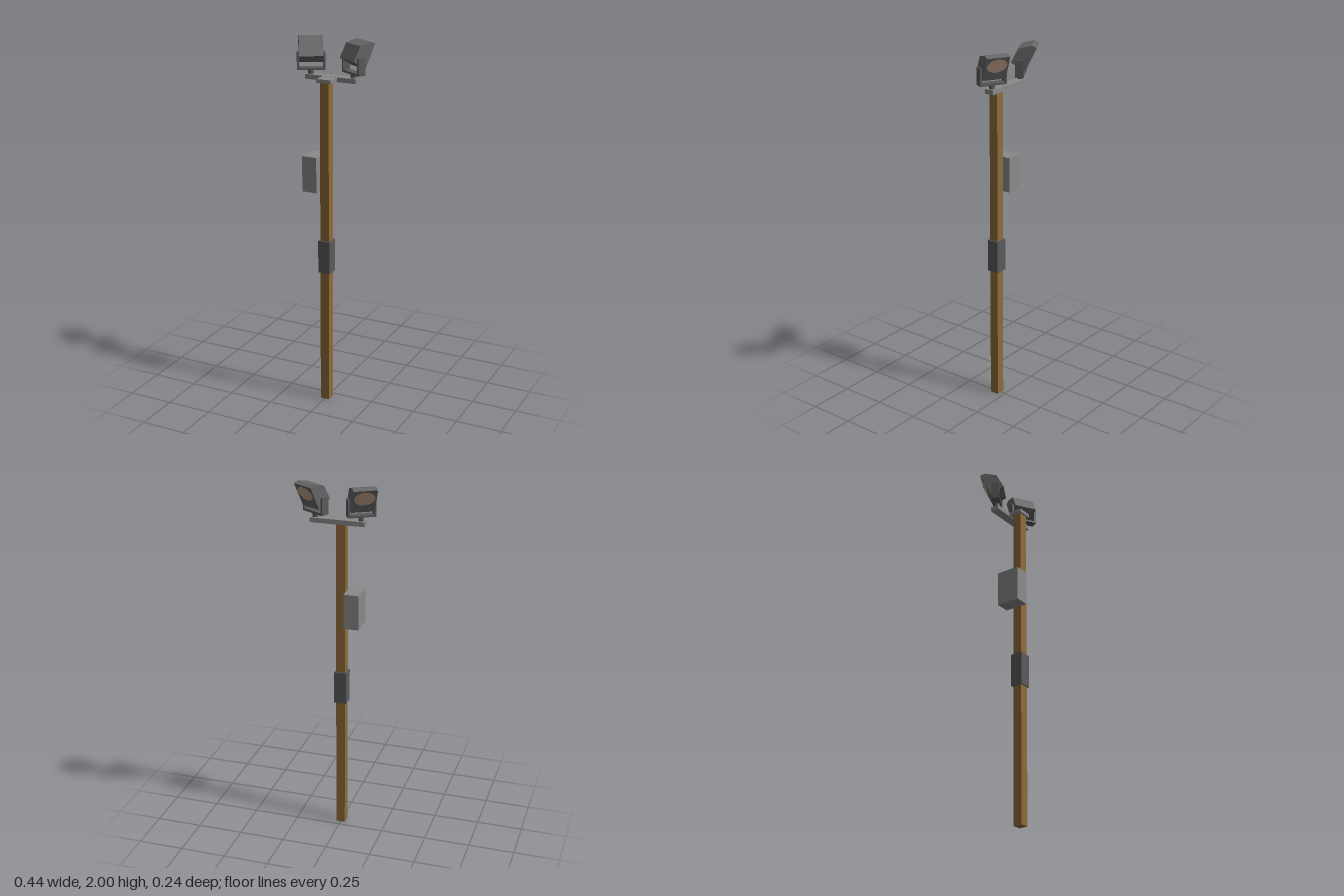
import * as THREE from 'three';

const mat = (name, color) => {
  const m = new THREE.MeshStandardMaterial({ color });
  m.name = name;
  return m;
};

export function createModel() {
  const wood = mat('wood', 0x8f6b3a);
  const grey = mat('grey metal', 0x8a8a8a);
  const dark = mat('dark metal', 0x5a5a5a);
  const housingGrey = mat('lamp housing', 0x666666);
  const glass = mat('lamp glass', 0xbfa088);

  const model = new THREE.Group();
  model.name = 'floodlightPole';

  const add = (parent, name, geometry, material) => {
    const mesh = new THREE.Mesh(geometry, material);
    mesh.name = name;
    parent.add(mesh);
    return mesh;
  };
  // Box given by its minimum and maximum corners
  const box = (parent, name, material, [x0, y0, z0], [x1, y1, z1]) => {
    const mesh = add(parent, name, new THREE.BoxGeometry(x1 - x0, y1 - y0, z1 - z0), material);
    mesh.position.set((x0 + x1) / 2, (y0 + y1) / 2, (z0 + z1) / 2);
    return mesh;
  };

  // Post with its sleeve and switch box
  box(model, 'post', wood, [-0.025, 0, 0.029], [0.025, 1.792, 0.079]);
  box(model, 'sleeve', dark, [-0.034, 0.755, 0.021], [0.034, 0.935, 0.087]);
  box(model, 'switchBox', grey, [-0.11, 1.21, -0.012], [-0.028, 1.402, 0.118]);

  // Cap plate and cross arm
  box(model, 'capPlate', grey, [-0.041, 1.792, 0.013], [0.041, 1.811, 0.089]);
  box(model, 'crossArm', grey, [-0.145, 1.787, -0.037], [0.145, 1.812, 0.013]);

  // Side profile of a lamp housing, as (z, y)
  const profile = [
    [-0.089, 1.99], [-0.061, 2.0], [0.003, 1.985], [0.043, 1.91], [-0.03, 1.865],
  ];
  const width = 0.125;
  const housing = new THREE.ExtrudeGeometry(
    new THREE.Shape(profile.map(([z, y]) => new THREE.Vector2(z, y))),
    { depth: width, bevelEnabled: false },
  );
  housing.translate(0, 0, -width / 2);
  housing.rotateY(-Math.PI / 2);

  // Two lamps aimed backwards and outwards
  for (const side of [1, -1]) {
    const lamp = new THREE.Group();
    lamp.name = side > 0 ? 'leftLamp' : 'rightLamp';
    lamp.position.set(side * 0.121, 0, -0.012);
    lamp.rotation.y = -side * Math.PI / 6;
    model.add(lamp);

    add(lamp, 'housing', housing, housingGrey);

    // Oval glass on the sloping rear face
    const lens = add(lamp, 'lens', new THREE.CircleGeometry(1, 24), glass);
    const [zTop, yTop] = profile[0];
    const [zLow, yLow] = profile[4];
    const t = 0.36;
    lens.position.set(0, yTop + (yLow - yTop) * t - 0.001, zTop + (zLow - zTop) * t - 0.002);
    lens.rotation.x = Math.atan2(zLow - zTop, yLow - yTop);
    lens.scale.set(0.054, 0.041, 1);

    // U bracket and its stem
    box(lamp, 'bracketBase', dark, [-0.073, 1.834, -0.022], [0.073, 1.845, 0.022]);
    for (const s of [1, -1]) {
      const cheek = box(lamp, 'bracketCheek', dark, [0.0625, 1.845, -0.022], [0.073, 1.925, 0.022]);
      cheek.position.x *= s;
    }
    const stem = add(lamp, 'stem', new THREE.CylinderGeometry(0.015, 0.015, 0.024, 12), dark);
    stem.position.y = 1.823;
  }

  return model;
}
